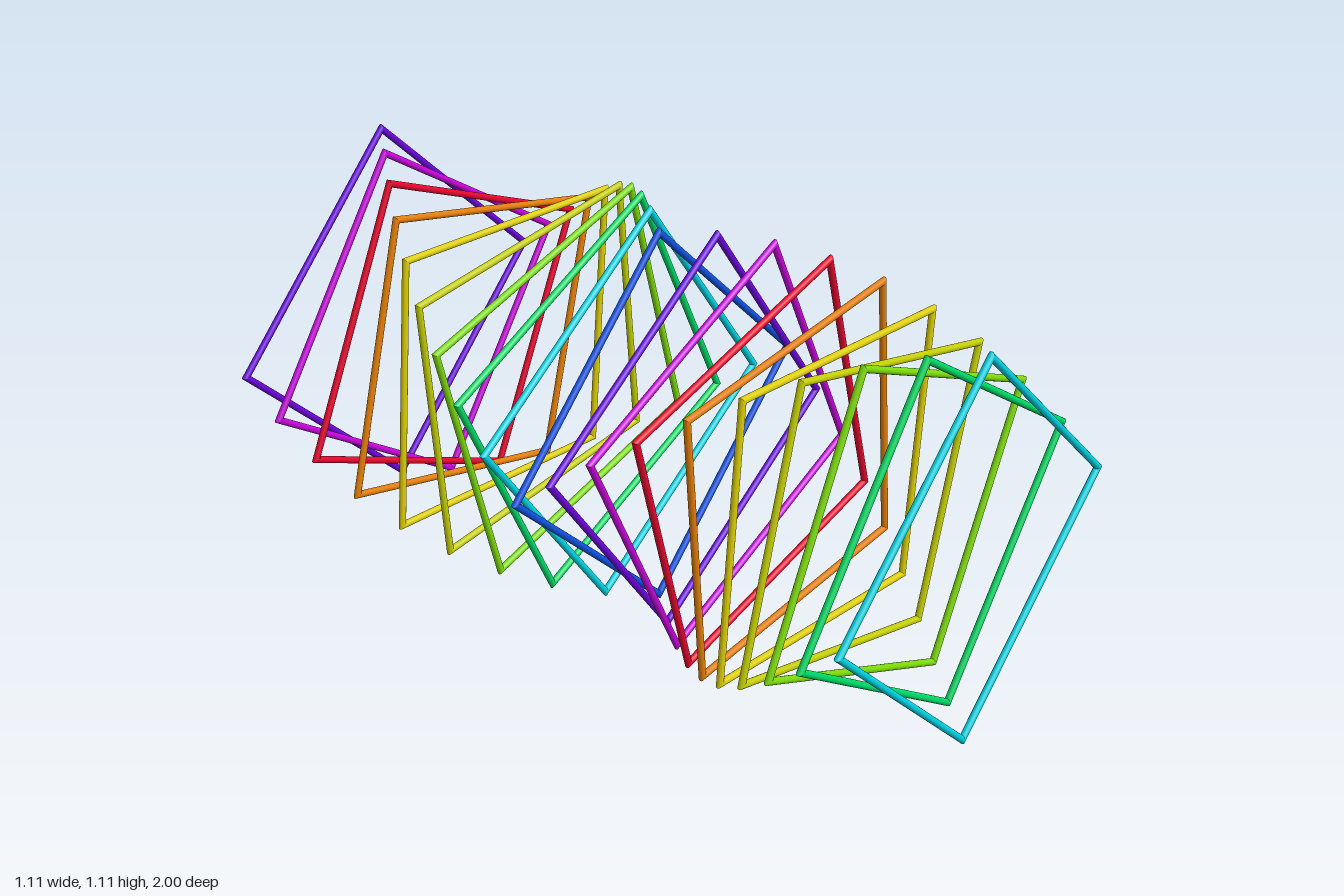
import * as THREE from 'three';

const COUNT = 19;
const RADIUS = 0.0095;  // rod thickness
const HALF = 0.384;     // half the side of a square, between rod axes
const CENTRE_Y = (HALF + RADIUS) * Math.SQRT2;

// Ten colours, repeated from front to back
const COLORS = [
  0x00d2e1, 0x00d764, 0x7bd90a, 0xc3cd05, 0xdccd05,
  0xe17d05, 0xe1052d, 0xc305d7, 0x6905d7, 0x0f50dc,
];

// Rod beside +x, its ends cut at 45 degrees to meet its neighbours
function mitredRod() {
  const geometry = new THREE.CylinderGeometry(RADIUS, RADIUS, 1, 16, 1, true);
  const p = geometry.attributes.position;
  for (let i = 0; i < p.count; i++) {
    p.setY(i, Math.sign(p.getY(i)) * (HALF + p.getX(i)));
  }
  return geometry.translate(HALF, 0, 0);
}

export function createModel() {
  const model = new THREE.Group();
  model.name = 'twistedSquares';

  const rodGeometry = mitredRod();
  const materials = COLORS.map((color) => new THREE.MeshStandardMaterial({ color }));

  for (let i = 0; i < COUNT; i++) {
    const frame = new THREE.Group();
    frame.name = `squareFrame${i + 1}`;

    // Four rods around the square
    for (let k = 0; k < 4; k++) {
      const rod = new THREE.Mesh(rodGeometry, materials[i % COLORS.length]);
      rod.name = 'rod';
      rod.rotation.z = (k * Math.PI) / 2;
      frame.add(rod);
    }

    // Ten degrees per frame up to the middle one, then turning back again
    const turn = 10 * Math.min(i, COUNT - 1 - i);
    frame.rotation.z = THREE.MathUtils.degToRad(45 + turn);
    frame.position.set(0, CENTRE_Y, (1 - RADIUS) * (1 - (2 * i) / (COUNT - 1)));
    model.add(frame);
  }
  return model;
}
